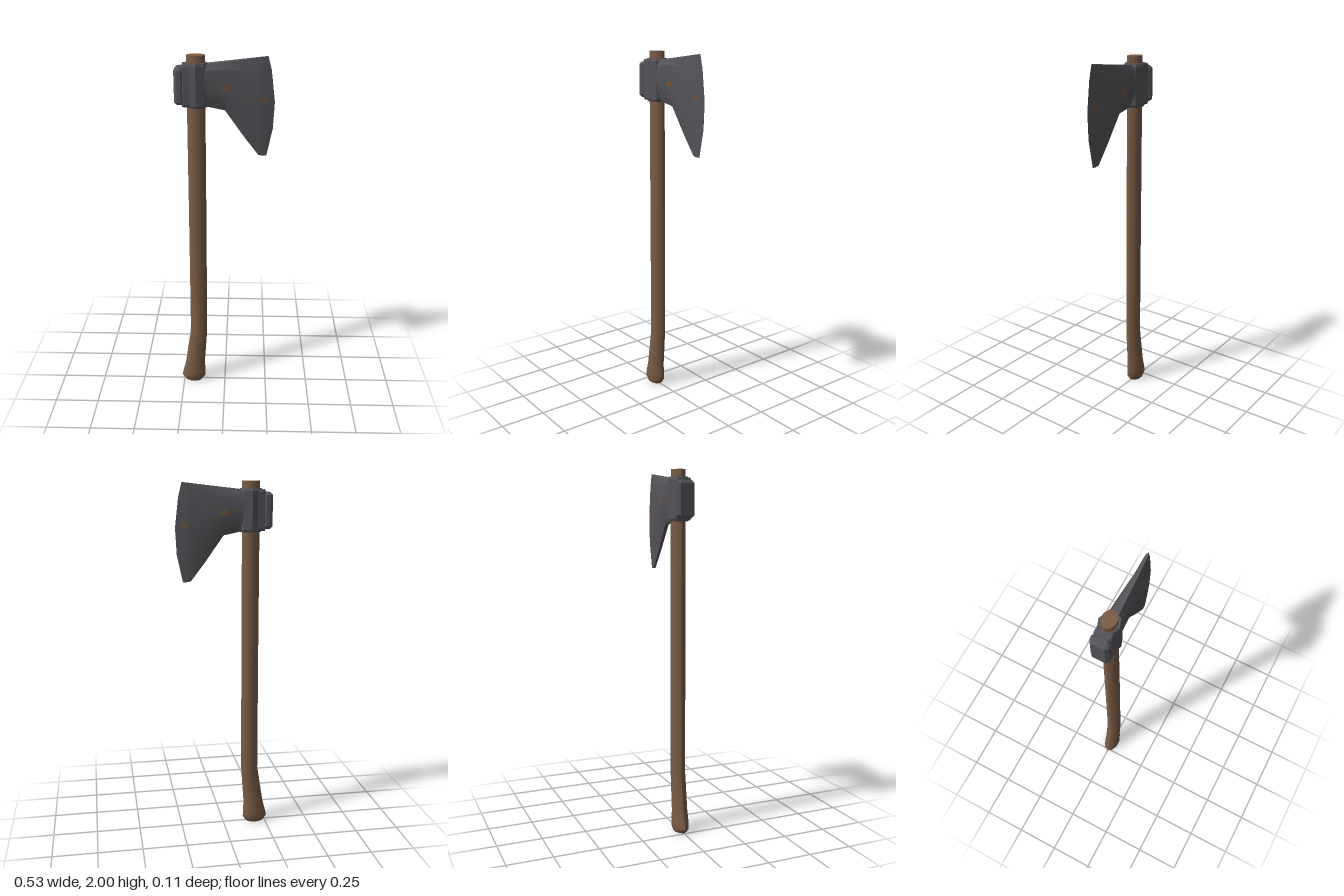
import * as THREE from 'three';
import { toCreasedNormals } from 'three/addons/utils/BufferGeometryUtils.js';

const mat = (name, color) => {
  const m = new THREE.MeshStandardMaterial({ color });
  m.name = name;
  return m;
};

// Skin a list of equal-length rings and close both ends with fans
function loft(rings, crease) {
  const n = rings[0].length, last = rings.length - 1;
  const pos = rings.flat(2), index = [];
  for (let i = 0; i < last; i++) {
    for (let j = 0; j < n; j++) {
      const k = (j + 1) % n;
      const a = i * n + j, b = a + n, c = (i + 1) * n + k, d = i * n + k;
      index.push(a, b, d, b, c, d);
    }
  }
  for (const r of [0, last]) {
    const centre = pos.length / 3;
    for (let axis = 0; axis < 3; axis++) pos.push(rings[r].reduce((s, p) => s + p[axis], 0) / n);
    for (let j = 0; j < n; j++) {
      const a = r * n + j, b = r * n + (j + 1) % n;
      if (r === 0) index.push(centre, a, b); else index.push(centre, b, a);
    }
  }
  const g = new THREE.BufferGeometry();
  g.setAttribute('position', new THREE.Float32BufferAttribute(pos, 3));
  g.setIndex(index);
  return toCreasedNormals(g, crease);
}

// Horizontal ring with elliptical outline
const ellipse = (n, cx, y, rx, rz) => Array.from({ length: n }, (_, i) => {
  const a = i / n * Math.PI * 2;
  return [cx + rx * Math.cos(a), y, rz * Math.sin(a)];
});

// Horizontal ring: rectangle with cut corners
const cutRect = (cx, y, hx, hz, c) => [
  [hx, c - hz], [hx, hz - c], [hx - c, hz], [c - hx, hz],
  [-hx, hz - c], [-hx, c - hz], [c - hx, -hz], [hx - c, -hz],
].map(([x, z]) => [cx + x, y, z]);

// Half thickness of the blade at x
const thickness = x => x < 0.205
  ? 0.042 - 0.085 * (x + 0.1)
  : Math.max(0, 0.016 * (0.262 - x) / 0.057);

function bladeGeometry() {
  const rows = [[0, 0.3], [0.28, 0.85], [0.55, 1], [0.86, 0.9], [1, 0.45]]; // height share, thickness share
  const columns = [ // x, bottom, top
    [-0.11, 1.735, 1.955], [0, 1.712, 1.968], [0.1, 1.57, 1.98],
    [0.18, 1.465, 1.99], [0.205, 1.46, 1.993],
  ];
  const ring = (lo, hi, xAt, tAt) => {
    const front = rows.map(([v, s]) => {
      const y = lo + (hi - lo) * v;
      return [xAt(y), y, tAt * s];
    });
    return [...front, ...front.map(([x, y, z]) => [x, y, -z]).reverse()];
  };
  const rings = columns.map(([x, lo, hi]) => ring(lo, hi, () => x, thickness(x)));
  // Curved cutting edge
  const edgeX = y => 0.224 + 0.039 * (1 - ((y - 1.728) / 0.268) ** 2);
  rings.push(ring(1.46, 1.996, edgeX, 0.0004));
  return loft(rings, 0.35);
}

// Thin irregular spot lying on the blade face
function spotGeometry(cx, cy, rx, ry) {
  const shape = new THREE.Shape(Array.from({ length: 7 }, (_, i) => {
    const a = i / 7 * Math.PI * 2, r = i % 2 ? 0.85 : 1;
    return new THREE.Vector2(cx + rx * r * Math.cos(a), cy + ry * r * Math.sin(a));
  }));
  const g = new THREE.ShapeGeometry(shape);
  const p = g.attributes.position;
  for (let i = 0; i < p.count; i++) p.setZ(i, thickness(p.getX(i)) + 0.001);
  g.computeVertexNormals();
  return g;
}

export function createModel() {
  const group = new THREE.Group();
  group.name = 'axe';
  const wood = mat('wood', 0x7a5d47);
  const metal = mat('dark metal', 0x565459);
  const rust = mat('rust', 0x7a5535);
  rust.side = THREE.DoubleSide;
  const add = (name, geometry, material) => {
    const mesh = new THREE.Mesh(geometry, material);
    mesh.name = name;
    group.add(mesh);
    return mesh;
  };

  // Handle with a swept, flared foot: centre x, y, half width, half depth
  const stations = [
    [-0.19, 0, 0.052, 0.036], [-0.192, 0.025, 0.072, 0.045], [-0.188, 0.06, 0.068, 0.045],
    [-0.182, 0.12, 0.058, 0.042], [-0.157, 0.34, 0.049, 0.04], [-0.154, 1, 0.049, 0.04],
    [-0.152, 2, 0.049, 0.038],
  ];
  add('handle', loft(stations.map(s => ellipse(10, ...s)), 0.75), wood);

  // Eight-sided eye around the handle
  add('collar', loft([[1.728, 0.9], [1.742, 1], [1.948, 1], [1.962, 0.9]]
    .map(([y, s]) => ellipse(8, -0.151, y, 0.065 * s, 0.057 * s)), 0.3), metal);

  // Hammer block behind the eye, and the neck joining it
  add('neck', loft([[1.735, 0.9], [1.748, 1], [1.942, 1], [1.955, 0.9]]
    .map(([y, s]) => cutRect(-0.197, y, 0.03 * s, 0.046 * s, 0.01)), 0.3), metal);
  add('poll', loft([[1.745, 0.013, 0.037, 0.01], [1.76, 0.026, 0.05, 0.015],
    [1.926, 0.026, 0.05, 0.015], [1.941, 0.013, 0.037, 0.01]]
    .map(([y, hx, hz, c]) => cutRect(-0.24, y, hx, hz, c)), 0.3), metal);

  add('blade', bladeGeometry(), metal);

  // Rust spots on both faces
  for (const side of [1, -1]) {
    for (const s of [[0, 1.835, 0.021, 0.018], [0.208, 1.77, 0.016, 0.016]]) {
      add('rustSpot', spotGeometry(...s), rust).scale.z = side;
    }
  }
  return group;
}
